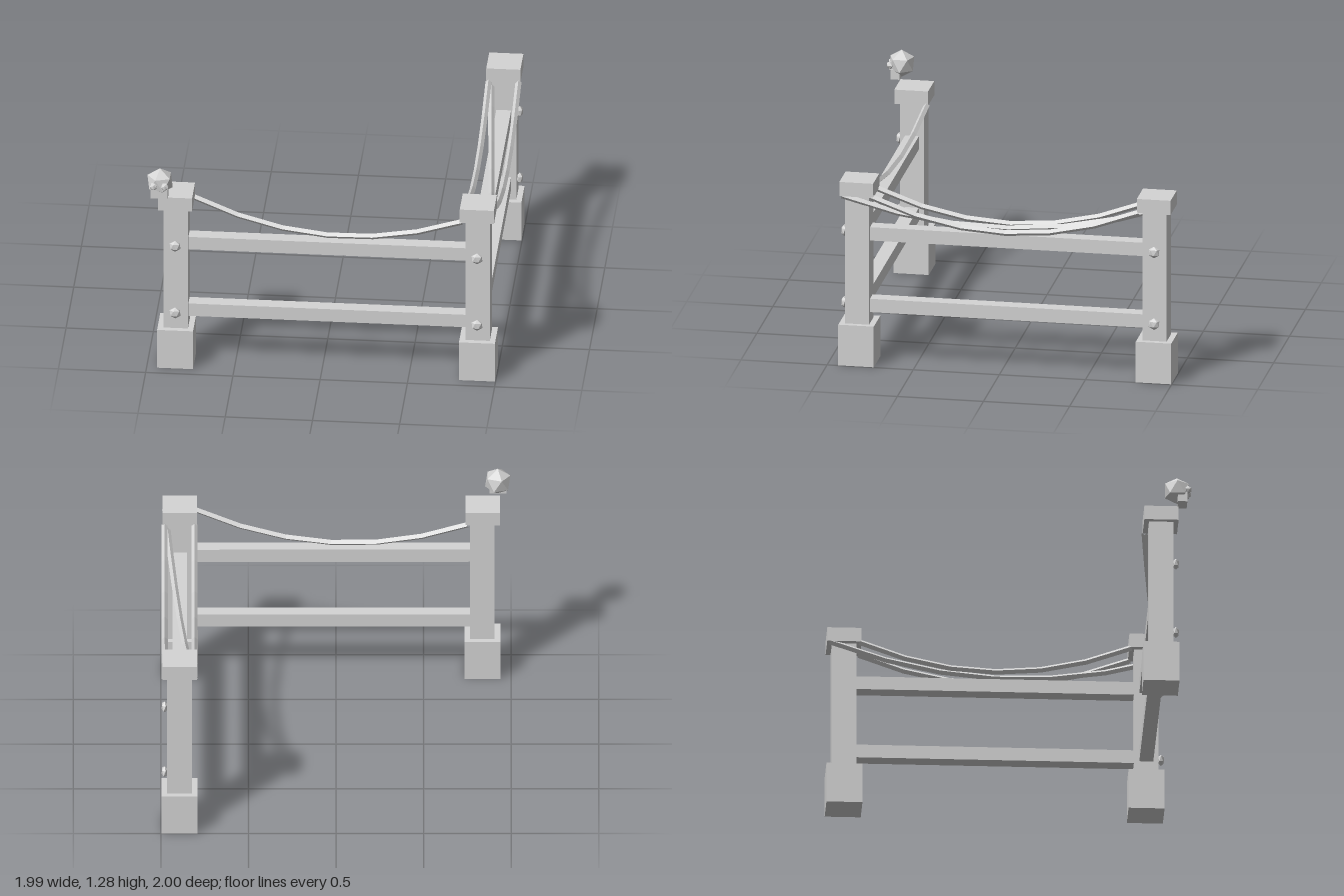
import * as THREE from 'three';

export function createModel() {
  const model = new THREE.Group();
  model.name = 'cornerFence';
  const stone = new THREE.MeshStandardMaterial({ color: 0xd4d4d4, flatShading: true });
  stone.name = 'plainGrey';

  const add = (name, geometry, x = 0, y = 0, z = 0, parent = model) => {
    const mesh = new THREE.Mesh(geometry, stone);
    mesh.name = name;
    mesh.position.set(x, y, z);
    parent.add(mesh);
    return mesh;
  };
  const box = (w, h, d) => new THREE.BoxGeometry(w, h, d);
  // Icosahedron standing on a vertex
  const tilt = Math.atan(2 / (1 + Math.sqrt(5)));
  const gem = (radius) => new THREE.IcosahedronGeometry(radius, 0).rotateZ(tilt);

  const L = -0.838, R = 0.892, F = 0.833, B = -0.894;

  // Posts with a square footing and a cap
  for (const [name, x, z] of [['leftPost', L, F], ['cornerPost', R, F], ['backPost', R, B]]) {
    const post = new THREE.Group();
    post.name = name;
    post.position.set(x, 0, z);
    add('footing', box(0.206, 0.244, 0.206), 0.001, 0.122, 0, post);
    add('shaft', box(0.14, 0.8, 0.14), 0.002, 0.63, 0, post);
    add('cap', box(0.196, 0.085, 0.196), 0, 1.057, 0, post);
    model.add(post);
  }

  // Rails and faceted bolts
  const bolt = (x, y, z, sx, sz) =>
    add('bolt', gem(0.035), x, y, z).scale.set(sx, 1, sz);
  for (const y of [0.35, 0.78]) {
    add('frontRail', box(R - L, 0.08, 0.08), (L + R) / 2, y, F);
    add('sideRail', box(0.085, 0.08, F - B), R, y, (F + B) / 2);
    bolt(L, y, 0.92, 1, 0.55);
    bolt(R, y, 0.92, 1, 0.55);
    bolt(0.979, y, B, 0.55, 1);
  }

  // Sagging ropes, each a parabola drawn with six straight runs
  const rope = (name, x0, z0, x1, z1) => {
    const curve = new THREE.Curve();
    curve.getPointAt = (t) => new THREE.Vector3(
      x0 + (x1 - x0) * t, 0.846 + 0.168 * (2 * t - 1) ** 2, z0 + (z1 - z0) * t);
    curve.getTangentAt = (t) => new THREE.Vector3(
      x1 - x0, 0.672 * (2 * t - 1), z1 - z0).normalize();
    add(name, new THREE.TubeGeometry(curve, 6, 0.0175, 4, false));
  };
  rope('frontRope', -0.75, 0.745, 0.807, 0.918);
  rope('innerSideRope', 0.807, 0.745, 0.807, -0.805);
  rope('outerSideRope', 0.978, 0.745, 0.978, -0.805);
  rope('crossingSideRope', 0.975, 0.918, 0.807, -0.975);

  // Small skull on the left post
  const skull = new THREE.Group();
  skull.name = 'skull';
  skull.position.set(-0.924, 1.2, 0.922);
  add('cranium', gem(0.081), 0, 0, 0, skull);
  add('jaw', box(0.097, 0.06, 0.055), 0, -0.055, 0.03, skull);
  for (const s of [-1, 1])
    add('eye', new THREE.IcosahedronGeometry(0.024, 0), s * 0.032, -0.005, 0.06, skull);
  model.add(skull);

  return model;
}
